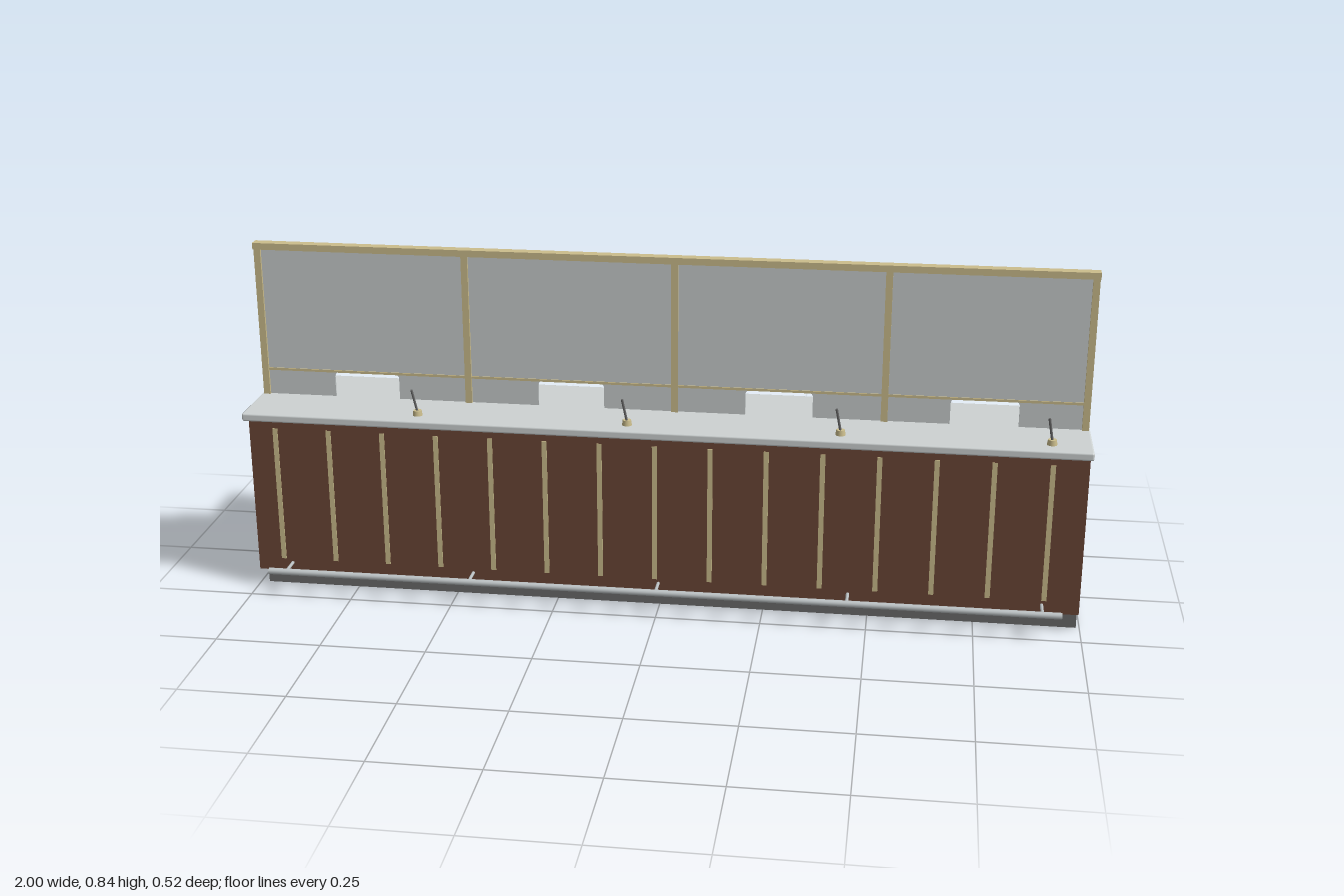
import * as THREE from 'three';
import { RoundedBoxGeometry } from 'three/addons/geometries/RoundedBoxGeometry.js';

const mat = (name, color, flatShading = false) => {
  const m = new THREE.MeshStandardMaterial({ color, flatShading });
  m.name = name;
  return m;
};

export function createModel() {
  const wood = mat('walnut', 0x6b4535);
  const stone = mat('pale marble', 0xcdd2d2);
  const glass = mat('frosted glass', 0xc8cdcd);
  const brass = mat('brass', 0xcbbd8c);
  const steel = mat('steel', 0xbcc2c4);
  const dark = mat('dark grey', 0x6a6a6a);
  const teal = mat('teal enamel', 0x66b5b7, true);

  const model = new THREE.Group();
  model.name = 'serviceCounter';

  const add = (name, geo, material, x = 0, y = 0, z = 0, parent = model) => {
    const mesh = new THREE.Mesh(geo, material);
    mesh.name = name;
    mesh.position.set(x, y, z);
    parent.add(mesh);
    return mesh;
  };
  // box given by its limits on each axis, optionally with rounded edges
  const block = (name, material, [x0, x1], [y0, y1], [z0, z1], r = 0) => {
    const s = [x1 - x0, y1 - y0, z1 - z0];
    const geo = r ? new RoundedBoxGeometry(...s, 2, r) : new THREE.BoxGeometry(...s);
    return add(name, geo, material, (x0 + x1) / 2, (y0 + y1) / 2, (z0 + z1) / 2);
  };
  // straight round bar between two points
  const bar = (name, material, a, b, r, sides = 10) => {
    const p = new THREE.Vector3(...a), q = new THREE.Vector3(...b);
    const d = q.clone().sub(p);
    const mesh = add(name, new THREE.CylinderGeometry(r, r, d.length(), sides), material);
    mesh.position.copy(p).add(q).multiplyScalar(0.5);
    mesh.quaternion.setFromUnitVectors(new THREE.Vector3(0, 1, 0), d.normalize());
    return mesh;
  };

  // counter body
  block('plinth', dark, [-0.98, 0.992], [0, 0.046], [-0.063, 0.173]);
  block('counterBody', wood, [-0.992, 0.994], [0.046, 0.442], [-0.063, 0.2]);
  block('counterTop', stone, [-1, 1], [0.441, 0.461], [-0.083, 0.225], 0.005);
  block('clerkDesk', wood, [-0.992, 0.992], [0.345, 0.36], [-0.26, -0.062], 0.004);

  // brass strips on the front
  for (let i = 0; i < 15; i++) {
    const x = -0.928 + i * 0.1314;
    block('frontStrip', brass, [x - 0.006, x + 0.006], [0.078, 0.418], [0.199, 0.202]);
  }

  // foot rail on brackets
  bar('footRail', steel, [-0.95, 0.066, 0.253], [0.952, 0.066, 0.253], 0.008, 12);
  for (let i = -2; i <= 2; i++) {
    bar('footRailBracket', steel, [i * 0.4535, 0.067, 0.199], [i * 0.4535, 0.067, 0.25], 0.004, 8);
  }

  // screen frame
  const posts = [-0.985, -0.479, 0.023, 0.521, 0.988];
  for (const x of posts) {
    block('screenPost', brass, [x - 0.008, x + 0.008], [0.46, 0.83], [0.06, 0.078]);
  }
  block('screenTopRail', brass, [-0.994, 0.997], [0.827, 0.843], [0.056, 0.082]);
  block('screenMidRail', brass, [-0.985, 0.988], [0.522, 0.528], [0.064, 0.074]);

  // lamp profile: base, stem, closed shade
  const lampGeo = new THREE.LatheGeometry([
    [0, 0], [0.032, 0], [0.032, 0.005], [0.02, 0.012], [0.005, 0.013], [0.005, 0.147],
    [0.043, 0.159], [0.018, 0.201], [0, 0.201],
  ].map(([x, y]) => new THREE.Vector2(x, y)), 10);

  // wedge-shaped desk unit, outline in z and y, extruded along x
  const wedge = new THREE.Shape([
    [0.12, 0], [0.227, 0], [0.205, 0.042], [0.152, 0.042],
  ].map(([x, y]) => new THREE.Vector2(x, y)));
  const wedgeGeo = new THREE.ExtrudeGeometry(wedge, { depth: 0.108, bevelEnabled: false });
  wedgeGeo.translate(0, 0, -0.054).rotateY(Math.PI / 2);

  const w = 0.08, top = 0.522, r = 0.01;
  for (let i = 0; i < 4; i++) {
    const x0 = posts[i], x1 = posts[i + 1], c = (x0 + x1) / 2;

    // glass pane with a service opening at the counter
    const pane = new THREE.Shape();
    pane.moveTo(x0, 0.46);
    pane.lineTo(c - w, 0.46);
    pane.lineTo(c - w, top - r);
    pane.quadraticCurveTo(c - w, top, c - w + r, top);
    pane.lineTo(c + w - r, top);
    pane.quadraticCurveTo(c + w, top, c + w, top - r);
    pane.lineTo(c + w, 0.46);
    pane.lineTo(x1, 0.46);
    pane.lineTo(x1, 0.83);
    pane.lineTo(x0, 0.83);
    add('glassPane', new THREE.ExtrudeGeometry(pane, { depth: 0.005, bevelEnabled: false, curveSegments: 4 }),
      glass, 0, 0, 0.0665);

    // clerk side: desk unit, lamp and drawer
    add('deskUnit', wedgeGeo, dark, c - 0.078, 0.36, 0);
    add('deskLamp', lampGeo, teal, c + 0.112, 0.36, -0.195);
    block('drawerFront', wood, [c - 0.112, c + 0.112], [0.245, 0.33], [-0.071, -0.062], 0.003);
    bar('drawerHandle', steel, [c - 0.025, 0.287, -0.078], [c + 0.025, 0.287, -0.078], 0.003, 8);
    for (const s of [-0.018, 0.018]) {
      bar('handleStud', steel, [c + s, 0.287, -0.07], [c + s, 0.287, -0.078], 0.002, 6);
    }

    // customer side: pen in a holder
    add('penHolder', new THREE.CylinderGeometry(0.01, 0.012, 0.013, 12), brass, c + 0.152, 0.467, 0.179);
    bar('pen', dark, [c + 0.152, 0.47, 0.18], [c + 0.142, 0.527, 0.188], 0.003, 8);
  }

  return model;
}
